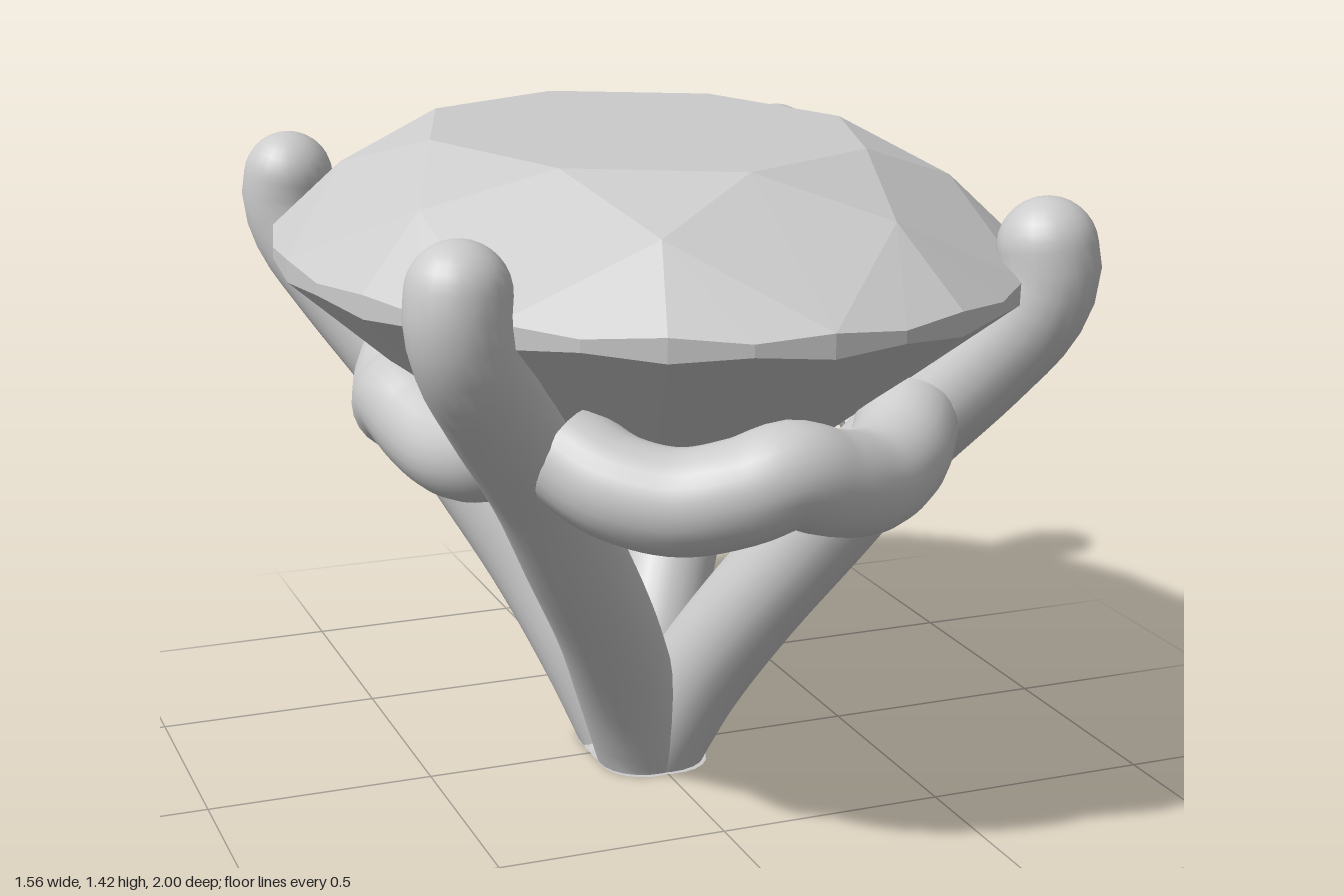
import * as THREE from 'three';
import { mergeVertices, toCreasedNormals } from 'three/addons/utils/BufferGeometryUtils.js';

const V = (x, y, z) => new THREE.Vector3(x, y, z);
const smooth = new THREE.MeshStandardMaterial({ color: 0xcccccc });
const faceted = new THREE.MeshStandardMaterial({ color: 0xcccccc, flatShading: true });

// Round bar along a curve: a lathed rod bent to follow it, with a flat start
// and a flat or domed end. With cut set, the start is trimmed at y = 0.
function bar(points, radius, ref, { dome = false, cut = false, steps = 40 } = {}) {
  const curve = new THREE.CatmullRomCurve3(points);
  const length = curve.getLength();
  const profile = [new THREE.Vector2(0, 0)];
  for (let i = 0; i <= steps; i++) {
    profile.push(new THREE.Vector2(radius(i / steps), (i / steps) * length));
  }
  const endR = radius(1);
  if (dome) {
    for (let i = 1; i <= 8; i++) {
      const a = (i / 8) * Math.PI / 2;
      profile.push(new THREE.Vector2(i === 8 ? 0 : endR * Math.cos(a), length + endR * Math.sin(a)));
    }
  } else profile.push(new THREE.Vector2(0, length));

  const geo = new THREE.LatheGeometry(profile, 24);
  const pos = geo.attributes.position;
  for (let i = 0; i < pos.count; i++) {
    const y = pos.getY(i);
    const u = THREE.MathUtils.clamp(y / length, 0, 1);
    const t = curve.getTangentAt(u);
    const side = t.clone().cross(ref).normalize();
    const other = side.clone().cross(t);
    const p = curve.getPointAt(u)
      .addScaledVector(t, Math.max(0, y - length))
      .addScaledVector(side, pos.getX(i))
      .addScaledVector(other, pos.getZ(i));
    if (cut && p.y < 0) p.addScaledVector(t, -p.y / t.y);
    pos.setXYZ(i, p.x, p.y, p.z);
  }
  geo.deleteAttribute('uv');
  geo.deleteAttribute('normal');
  return toCreasedNormals(mergeVertices(geo, 1e-4), 0.9);
}

// Oval brilliant-cut stone, eight sectors of facets
function gemGeometry() {
  const data = [];
  const centre = V(0, 1, 0);
  const at = (k, r, y) => {
    const a = (k * Math.PI) / 16;
    return V(0.78 * r * Math.sin(a), y, r * Math.cos(a));
  };
  const tri = (a, b, c) => {
    const n = b.clone().sub(a).cross(c.clone().sub(a));
    const mid = a.clone().add(b).add(c).divideScalar(3).sub(centre);
    for (const p of n.dot(mid) < 0 ? [a, c, b] : [a, b, c]) data.push(p.x, p.y, p.z);
  };
  const table = (k) => at(k, 0.6, 1.425);
  const star = (k) => at(k, 0.81, 1.338);
  const top = (k) => at(k, 1, k % 2 ? 1.183 : 1.195);
  const low = (k) => at(k, 1, k % 2 ? 1.158 : 1.146);
  const pavilion = (k) => at(k, 0.25, 0.63);
  const tip = V(0, 0.475, 0);
  for (let s = 0; s < 8; s++) {
    const k = s * 4;
    // Table, star and kite facets
    tri(V(0, 1.425, 0), table(k), table(k + 4));
    tri(table(k), star(k + 2), table(k + 4));
    tri(table(k), star(k - 2), top(k));
    tri(table(k), top(k), star(k + 2));
    // Pavilion main facet
    tri(tip, pavilion(k - 2), pavilion(k + 2));
    tri(low(k), pavilion(k + 2), pavilion(k - 2));
    // Half facets and girdle
    for (let j = k; j < k + 4; j++) {
      tri(star(k + 2), top(j), top(j + 1));
      tri(pavilion(k + 2), low(j), low(j + 1));
      tri(top(j), low(j), low(j + 1));
      tri(top(j), low(j + 1), top(j + 1));
    }
  }
  const geo = new THREE.BufferGeometry();
  geo.setAttribute('position', new THREE.Float32BufferAttribute(data, 3));
  geo.computeVertexNormals();
  return geo;
}

export function createModel() {
  const group = new THREE.Group();
  const add = (name, geo, material = smooth) => {
    const mesh = new THREE.Mesh(geo, material);
    mesh.name = name;
    group.add(mesh);
    return mesh;
  };

  add('gemstone', gemGeometry(), faceted);

  // Four prongs rising from the shared foot, one per corner
  const prongPath = [
    [-0.05, -0.12, -0.02], [0.0, 0, 0.045], [0.08, 0.2, 0.125], [0.17, 0.4, 0.235],
    [0.28, 0.6, 0.35], [0.39, 0.8, 0.465], [0.525, 1.0, 0.6], [0.598, 1.12, 0.668],
    [0.62, 1.2, 0.683], [0.615, 1.25, 0.677],
  ];
  for (const sx of [1, -1]) {
    for (const sz of [1, -1]) {
      const path = prongPath.map(([x, y, z]) => V(sx * x, y, sz * z));
      const geo = bar(path, (u) => 0.114 - 0.012 * u, V(sz, 0, -sx), { dome: true, cut: true });
      add(`${sz > 0 ? 'front' : 'back'}${sx > 0 ? 'Left' : 'Right'}Prong`, geo);
    }
  }

  // Wavy gallery rails between the prongs: [along, height, outward], mirrored about the middle
  const rail = (half) => {
    const path = [
      ...half.slice(1).reverse().map(([a, y, o]) => V(-a, y, o)),
      ...half.map(([a, y, o]) => V(a, y, o)),
    ];
    return bar(path, () => 0.106, V(0, 1, 0), { steps: 48 });
  };
  const endRail = rail([
    [0, 0.875, 0.81], [0.09, 0.845, 0.79], [0.2, 0.82, 0.735], [0.3, 0.84, 0.66], [0.37, 0.89, 0.57],
  ]);
  const sideRail = rail([
    [0, 0.875, 0.535], [0.09, 0.845, 0.52], [0.21, 0.82, 0.49], [0.32, 0.84, 0.455], [0.39, 0.89, 0.41],
  ]);
  ['frontRail', 'leftRail', 'backRail', 'rightRail'].forEach((name, i) => {
    add(name, i % 2 ? sideRail : endRail).rotation.y = (i * Math.PI) / 2;
  });

  return group;
}
